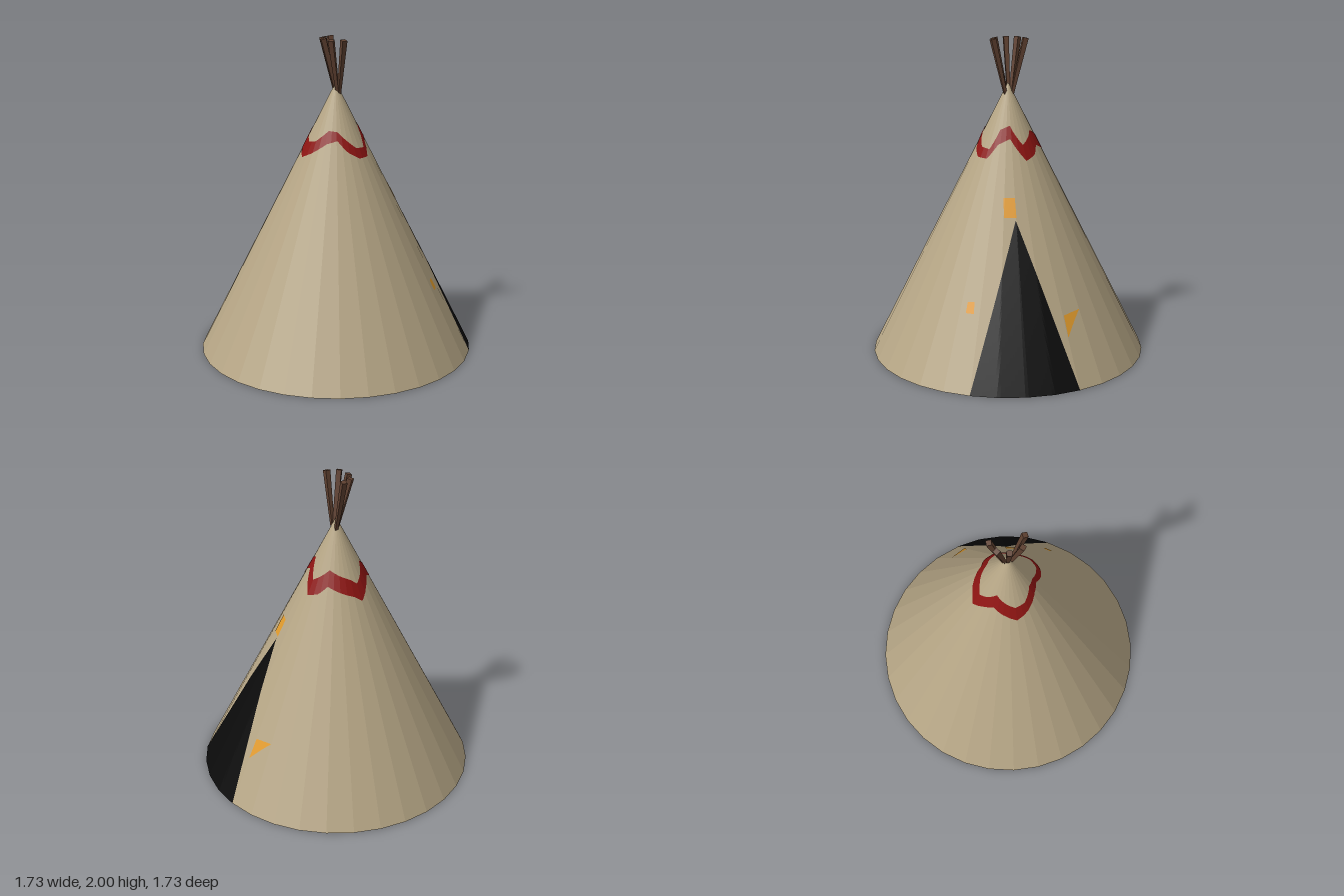
import * as THREE from 'three';

const SIDES = 32, RADIUS = 0.865, HEIGHT = 1.725;
const STEP = (Math.PI * 2) / SIDES;
const radiusAt = (y) => RADIUS * (1 - y / HEIGHT);

const paint = (color) => new THREE.MeshStandardMaterial({ color, flatShading: true, side: THREE.DoubleSide });

// Point on the faceted cone at an angle (0 = +x, 90 degrees = +z), lifted slightly off the cloth
function onCone(angle, y, lift) {
  const local = angle - (Math.floor(angle / STEP) + 0.5) * STEP;
  const r = (radiusAt(y) * Math.cos(STEP / 2)) / Math.cos(local) + lift;
  return [r * Math.cos(angle), y + lift * 0.5, r * Math.sin(angle)];
}

// Grid surface from a function of (u, v) in 0..1
function gridMesh(name, cols, rows, color, pointAt) {
  const pos = [], index = [];
  for (let j = 0; j <= rows; j++)
    for (let i = 0; i <= cols; i++) pos.push(...pointAt(i / cols, j / rows));
  for (let j = 0; j < rows; j++)
    for (let i = 0; i < cols; i++) {
      const a = j * (cols + 1) + i, b = a + cols + 1;
      index.push(a, b, a + 1, a + 1, b, b + 1);
    }
  const geo = new THREE.BufferGeometry();
  geo.setAttribute('position', new THREE.Float32BufferAttribute(pos, 3));
  geo.setIndex(index);
  geo.computeVertexNormals();
  const mesh = new THREE.Mesh(geo, paint(color));
  mesh.name = name;
  return mesh;
}

// Four-cornered patch given as (z, y) and projected along x onto the +x side
function patch(name, corners, color, n, lift) {
  const [a, b, c, d] = corners;
  const mix = (k, u, v) =>
    (a[k] * (1 - u) + b[k] * u) * (1 - v) + (d[k] * (1 - u) + c[k] * u) * v;
  return gridMesh(name, n, n, color, (u, v) => {
    const z = mix(0, u, v), y = mix(1, u, v);
    return onCone(Math.asin(z / radiusAt(y)), y, lift);
  });
}

export function createModel() {
  const model = new THREE.Group();

  // Cloth cone with closed floor, a vertex on the +x axis
  const cone = new THREE.Mesh(
    new THREE.ConeGeometry(RADIUS, HEIGHT, SIDES),
    new THREE.MeshStandardMaterial({ color: 0xb5a585, flatShading: true })
  );
  cone.position.y = HEIGHT / 2;
  cone.name = 'tentCloth';
  model.add(cone);

  // Dark triangular doorway
  model.add(patch('doorway', [[0.48, 0], [-0.167, 0], [0.08, 0.945], [0.08, 0.945]], 0x0b0b0b, 32, 0.002));

  // Orange painted marks around the doorway
  const marks = [
    [[0.145, 0.96], [0.073, 0.96], [0.065, 1.07], [0.13, 1.07]],
    [[0.43, 0.43], [0.39, 0.43], [0.375, 0.495], [0.41, 0.49]],
    [[-0.143, 0.285], [-0.2, 0.36], [-0.25, 0.42], [-0.135, 0.405]],
  ];
  for (const m of marks) model.add(patch('orangeMark', m, 0xe09a2c, 8, 0.002));

  // Red zigzag band: angle in degrees, lower height, upper height
  const zigzag = [
    [-180, 1.27, 1.365], [-163, 1.305, 1.395], [-138, 1.35, 1.445], [-120, 1.305, 1.39],
    [-102, 1.245, 1.345], [-90, 1.28, 1.375], [-45, 1.345, 1.435], [-30, 1.295, 1.4],
    [-11, 1.27, 1.36], [14, 1.4, 1.475], [38, 1.365, 1.45], [54, 1.28, 1.335],
    [74, 1.28, 1.34], [92, 1.32, 1.39], [111, 1.39, 1.44], [132, 1.37, 1.445],
    [160, 1.305, 1.375], [180, 1.27, 1.365],
  ];
  const heights = (deg) => {
    let k = 0;
    while (k < zigzag.length - 2 && deg > zigzag[k + 1][0]) k++;
    const p = zigzag[k], q = zigzag[k + 1], t = (deg - p[0]) / (q[0] - p[0]);
    return [p[1] + (q[1] - p[1]) * t, p[2] + (q[2] - p[2]) * t];
  };
  model.add(gridMesh('zigzagBand', 160, 1, 0x8c1412, (u, v) => {
    const deg = -180 + 360 * u;
    return onCone(THREE.MathUtils.degToRad(deg), heights(deg)[v], 0.002);
  }));

  // Square poles fanning out of the tip
  const wood = new THREE.MeshStandardMaterial({ color: 0x5e4030, flatShading: true });
  const tops = [[0.01, -0.11], [-0.052, -0.08], [-0.08, -0.012], [-0.062, 0.07], [0.008, 0.1]];
  for (const [x, z] of tops) {
    const from = new THREE.Vector3(0.012 + x * 0.08, 1.65, z * 0.2);
    const to = new THREE.Vector3(x, 1.995, z);
    const dir = to.clone().sub(from);
    const geo = new THREE.CylinderGeometry(0.023, 0.013, dir.length(), 4);
    geo.rotateY(Math.PI / 4 - Math.atan2(z, x));
    const pole = new THREE.Mesh(geo, wood);
    pole.quaternion.setFromUnitVectors(new THREE.Vector3(0, 1, 0), dir.normalize());
    pole.position.copy(from).add(to).multiplyScalar(0.5);
    pole.name = 'pole';
    model.add(pole);
  }
  return model;
}
